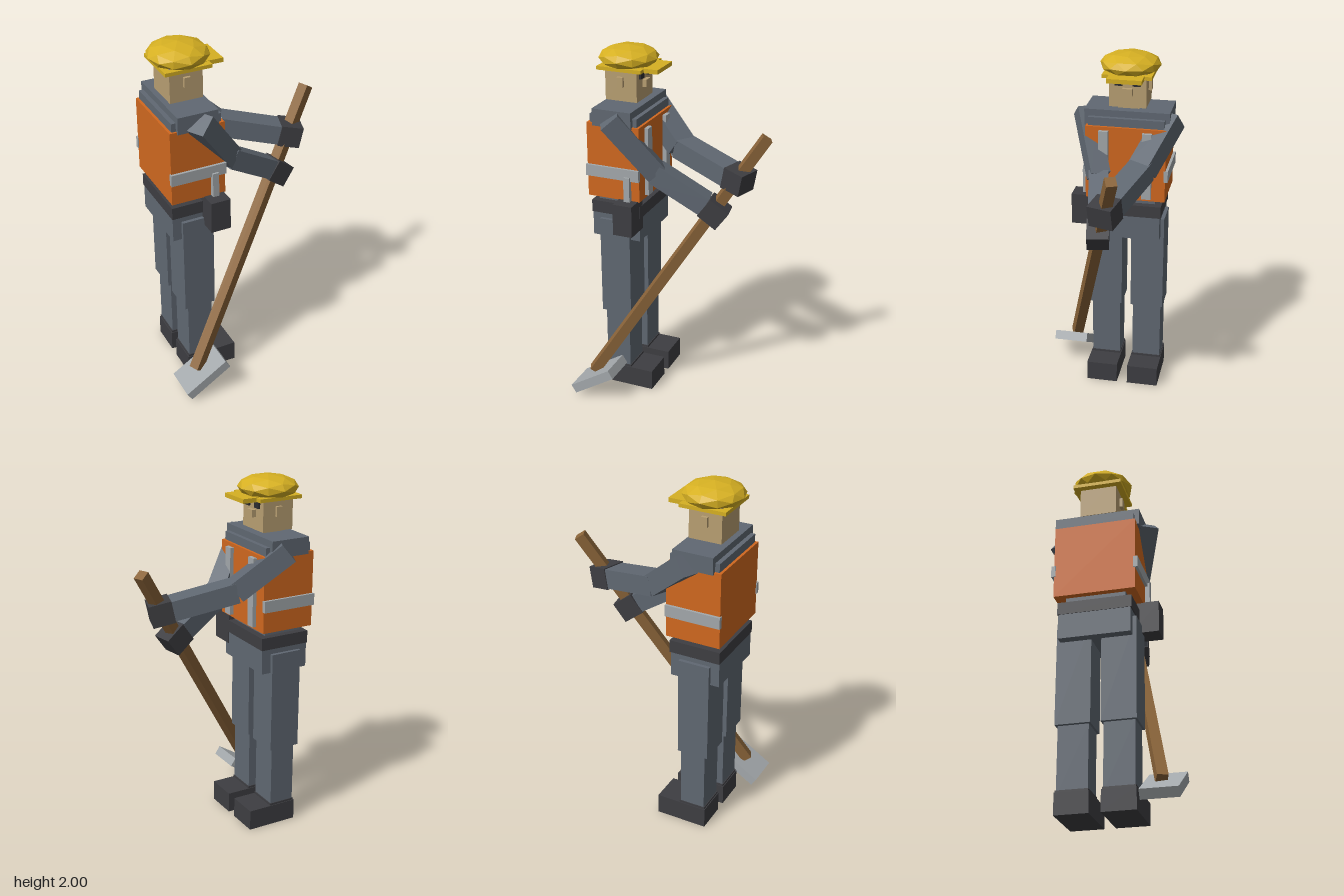
import * as THREE from 'three';

const mat = (color) => new THREE.MeshStandardMaterial({ color, flatShading: true });

export function createModel() {
  const model = new THREE.Group();
  model.name = 'worker';
  const cloth = mat(0x606872), dark = mat(0x3e3e42), orange = mat(0xd0681f), reflect = mat(0xa3a8ab);
  const skin = mat(0xb89f72), yellow = mat(0xd6b022), wood = mat(0x8a6439), black = mat(0x2c2c30);

  const add = (name, geometry, material) => {
    const mesh = new THREE.Mesh(geometry, material);
    mesh.name = name;
    model.add(mesh);
    return mesh;
  };
  // Box given by its limits along each axis
  const box = (name, material, x0, x1, y0, y1, z0, z1) =>
    add(name, new THREE.BoxGeometry(x1 - x0, y1 - y0, z1 - z0), material)
      .position.set((x0 + x1) / 2, (y0 + y1) / 2, (z0 + z1) / 2);
  // Box stretched between two points
  const beam = (name, material, a, b, width, height) => {
    const p = new THREE.Vector3(...a), q = new THREE.Vector3(...b);
    const mesh = add(name, new THREE.BoxGeometry(width, height, p.distanceTo(q)), material);
    mesh.position.copy(p).lerp(q, 0.5);
    mesh.lookAt(q);
  };

  // Legs and boots: the body faces +x, centred on z = mid
  const mid = -0.072;
  for (const s of [1, -1]) {
    const z = mid + s * 0.122;
    box('thigh', cloth, -0.4, -0.22, 0.475, 1.05, z - 0.095, z + 0.095);
    box('shin', cloth, -0.38, -0.235, 0.1, 0.48, z - 0.083, z + 0.083);
    box('boot', dark, -0.39, -0.095, 0, 0.118, z - 0.091, z + 0.091);
    box('bootCuff', dark, -0.385, -0.23, 0.11, 0.13, z - 0.087, z + 0.087);
  }

  // Hips, belt and pouch
  box('hips', cloth, -0.45, -0.165, 0.94, 1.09, mid - 0.197, mid + 0.197);
  box('belt', dark, -0.453, -0.16, 1.08, 1.15, mid - 0.203, mid + 0.203);
  box('pouch', dark, -0.275, -0.162, 1.01, 1.19, 0.09, 0.238);
  box('pouchTool', reflect, -0.235, -0.2, 1.17, 1.33, 0.15, 0.18);

  // Shirt and vest
  box('waist', cloth, -0.425, -0.2, 1.14, 1.2, mid - 0.165, mid + 0.165);
  box('vest', orange, -0.46, -0.152, 1.187, 1.61, mid - 0.225, mid + 0.225);
  box('shirt', cloth, -0.445, -0.167, 1.6, 1.657, mid - 0.213, mid + 0.213);
  box('shoulders', cloth, -0.42, -0.192, 1.6, 1.695, mid - 0.238, mid + 0.238);
  for (const s of [1, -1]) {
    const side = mid + s * 0.228, chest = mid + s * 0.122;
    box('sideStripe', reflect, -0.465, -0.15, 1.308, 1.373, side - 0.012, side + 0.012);
    box('chestStripe', reflect, -0.155, -0.13, 1.205, 1.59, chest - 0.027, chest + 0.027);
  }

  // Head
  box('neck', skin, -0.365, -0.245, 1.68, 1.72, mid - 0.06, mid + 0.06);
  box('head', skin, -0.4, -0.215, 1.71, 1.92, mid - 0.103, mid + 0.103);
  box('nose', skin, -0.22, -0.192, 1.78, 1.82, mid - 0.028, mid + 0.028);
  for (const s of [1, -1]) {
    const ear = mid + s * 0.108, eye = mid + s * 0.05;
    box('ear', skin, -0.325, -0.29, 1.79, 1.845, ear - 0.012, ear + 0.012);
    box('eye', black, -0.22, -0.203, 1.833, 1.865, eye - 0.021, eye + 0.021);
  }

  // Hard hat with faceted dome, rim and visor
  const dome = add('hatDome', new THREE.IcosahedronGeometry(1, 1), yellow);
  dome.scale.set(0.165, 0.066, 0.17);
  dome.position.set(-0.305, 1.934, mid);
  box('hatRim', yellow, -0.435, -0.175, 1.88, 1.9, mid - 0.137, mid + 0.137);
  box('hatVisor', yellow, -0.27, -0.095, 1.878, 1.902, mid - 0.096, mid + 0.096);

  // Arms: shoulder, elbow, wrist, hand end
  const arms = [
    [[-0.31, 1.65, 0.185], [-0.09, 1.345, 0.065], [0.18, 1.18, 0.012], [0.28, 1.105, -0.005], 0.11],
    [[-0.29, 1.635, -0.305], [-0.045, 1.42, -0.185], [0.285, 1.34, -0.075], [0.4, 1.315, -0.04], 0.13],
  ];
  for (const [shoulder, elbow, wrist, end, w] of arms) {
    beam('upperArm', cloth, shoulder, elbow, w, 0.115);
    beam('forearm', cloth, elbow, wrist, w, 0.11);
    beam('hand', dark, wrist, end, w + 0.01, 0.122);
  }

  // Shovel
  beam('shovelHandle', wood, [-0.4, 0.14, 0.27], [0.478, 1.56, -0.115], 0.058, 0.058);
  beam('shovelBlade', reflect, [-0.489, 0.042, 0.275], [-0.25, 0.192, 0.275], 0.197, 0.054);

  return model;
}
